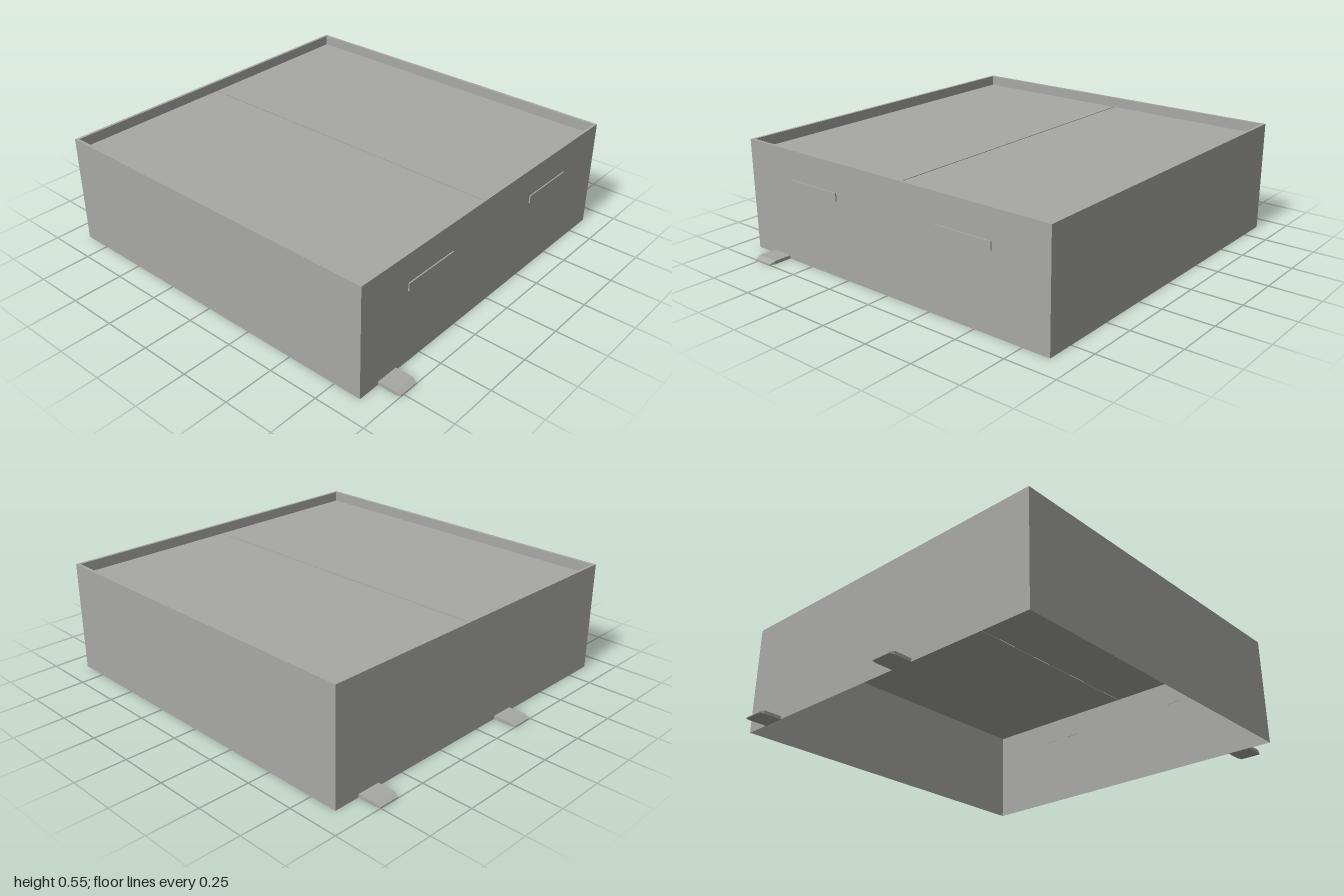
import * as THREE from 'three';

const HALF = 0.887, HEIGHT = 0.55, RIM = 0.015, DECK = 0.498;

// Thin tab lying on the ground: flat, then sloping and narrowing to its tip
function tabGeometry() {
  const g = new THREE.BoxGeometry(0.116, 0.016, 2, 1, 1, 2);
  const p = g.attributes.position;
  for (let i = 0; i < p.count; i++) {
    const row = Math.round(p.getZ(i) + 1);
    const top = p.getY(i) > 0;
    p.setZ(i, [-0.002, 0.088, 0.113][row]);
    p.setY(i, top ? (row === 2 ? 0.005 : 0.016) : 0);
    if (row === 2) p.setX(i, p.getX(i) * 0.88);
  }
  const flat = g.toNonIndexed();
  flat.computeVertexNormals();
  return flat;
}

export function createModel() {
  const model = new THREE.Group();
  model.name = 'crate';
  const grey = new THREE.MeshStandardMaterial({ color: 0xa8a8a6, side: THREE.DoubleSide, flatShading: true });
  grey.name = 'grey';

  const add = (name, geometry, x = 0, y = 0, z = 0) => {
    const mesh = new THREE.Mesh(geometry, grey);
    mesh.name = name;
    mesh.position.set(x, y, z);
    model.add(mesh);
    return mesh;
  };

  // Walls, rim and inner lip: a square sweep, open underneath
  const profile = [[HALF, 0], [HALF, HEIGHT], [HALF - RIM, HEIGHT], [HALF - RIM, DECK - 0.004]]
    .map(([r, y]) => new THREE.Vector2(r * Math.SQRT2, y));
  const walls = new THREE.LatheGeometry(profile, 4).rotateY(Math.PI / 4).toNonIndexed();
  walls.computeVertexNormals();
  add('walls', walls);

  // Two recessed lid panels with a narrow seam, and a pull strip in front of each
  const gap = 0.006, width = HALF - 0.002 - gap / 2;
  for (const side of [-1, 1]) {
    add(side > 0 ? 'leftLid' : 'rightLid', new THREE.BoxGeometry(width, 0.004, 2 * HALF - 0.004),
      side * (gap / 2 + width / 2), DECK - 0.002, 0);
    add(side > 0 ? 'leftPull' : 'rightPull', new THREE.BoxGeometry(0.3, 0.038, 0.007),
      side * 0.447, 0.39, HALF + 0.0025);
  }

  // Ground tabs
  const tab = tabGeometry();
  add('frontTab', tab, -0.716, 0, HALF);
  for (const x of [-0.188, 0.7]) add('backTab', tab, x, 0, -HALF).rotation.y = Math.PI;

  return model;
}
